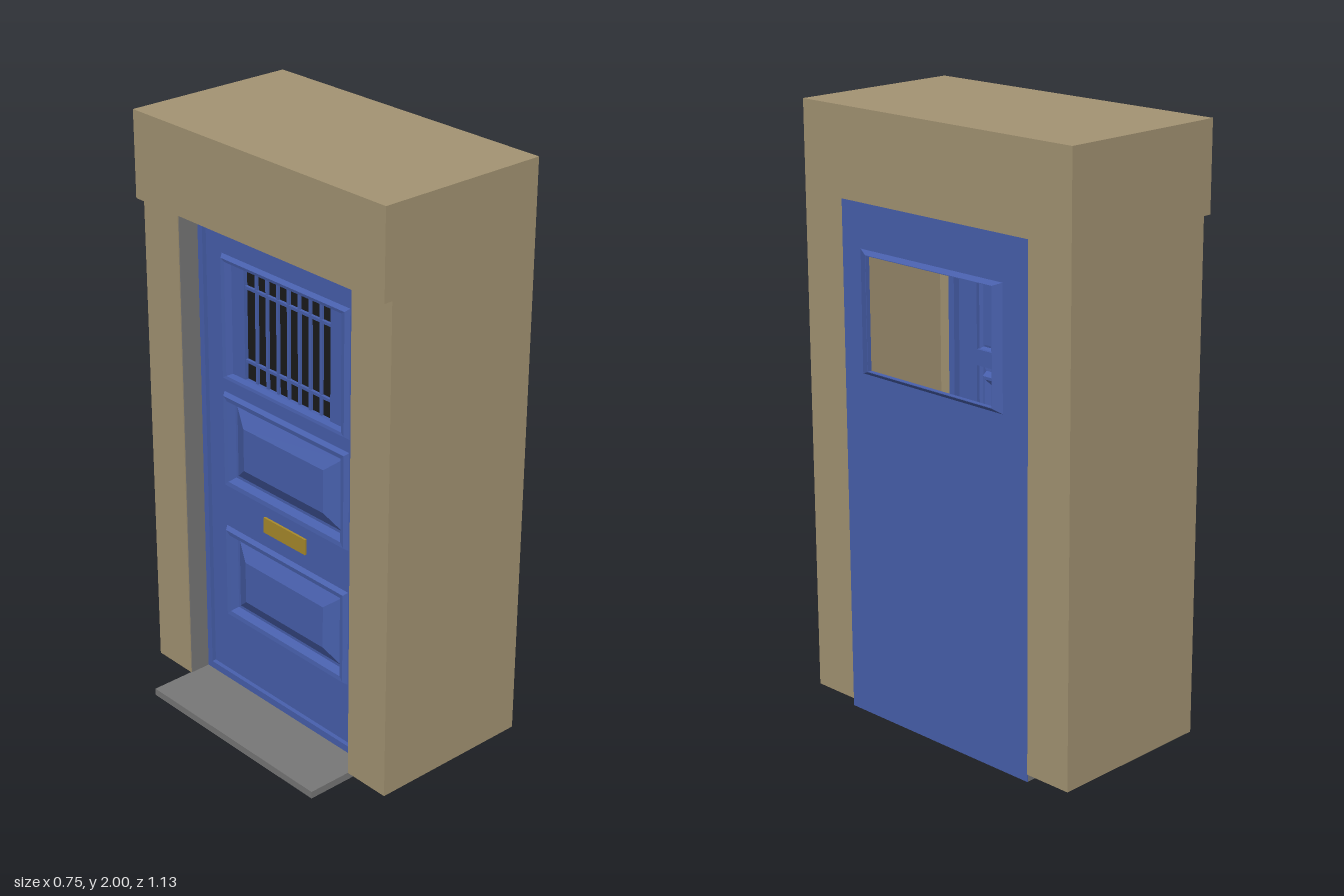
import * as THREE from 'three';

const mat = (color) => new THREE.MeshStandardMaterial({ color, side: THREE.DoubleSide, flatShading: true });

export function createModel() {
  const model = new THREE.Group();
  model.name = 'doorway';
  const stone = mat(0xa49473), blue = mat(0x4860ad), grey = mat(0x777777);
  const black = mat(0x1a1a1a), brass = mat(0xa88a2c);

  const add = (parent, name, geometry, material) => {
    const mesh = new THREE.Mesh(geometry, material);
    mesh.name = name;
    parent.add(mesh);
    return mesh;
  };
  // Box given by its two corners
  const box = (parent, name, m, x0, x1, y0, y1, z0, z1) =>
    add(parent, name, new THREE.BoxGeometry(x1 - x0, y1 - y0, z1 - z0), m)
      .position.set((x0 + x1) / 2, (y0 + y1) / 2, (z0 + z1) / 2);
  // Rectangle outline about a centre
  const rect = (cx, cy, hw, hh, Type = THREE.Path) => new Type([
    [cx - hw, cy - hh], [cx + hw, cy - hh], [cx + hw, cy + hh], [cx - hw, cy + hh],
  ].map(([x, y]) => new THREE.Vector2(x, y)));
  const board = (outer, holes, depth) => {
    outer.holes.push(...holes);
    return new THREE.ExtrudeGeometry(outer, { depth, bevelEnabled: false });
  };
  // Rectangular moulding lofted through rings of [half width, half height, depth]
  const moulding = (rings, capped) => {
    const pos = [], index = [];
    for (const [w, h, d] of rings) pos.push(-w, -h, d, w, -h, d, w, h, d, -w, h, d);
    for (let r = 0; r < rings.length - 1; r++) {
      for (let i = 0; i < 4; i++) {
        const a = r * 4 + i, b = r * 4 + (i + 1) % 4;
        index.push(a, b, b + 4, a, b + 4, a + 4);
      }
    }
    const n = (rings.length - 1) * 4;
    if (capped) index.push(n, n + 1, n + 2, n, n + 2, n + 3);
    const g = new THREE.BufferGeometry();
    g.setAttribute('position', new THREE.Float32BufferAttribute(pos, 3));
    g.setIndex(index);
    const flat = g.toNonIndexed();
    flat.computeVertexNormals();
    return flat;
  };

  const T = 0.003, W = 0.565, D = 0.397, H = 1.71;
  const xL = -0.25, xJ = -0.22, xB = 0.36, xDoor = -0.13;

  // Hollow wall shell
  const wall = new THREE.Group();
  wall.name = 'wall';
  model.add(wall);
  box(wall, 'roof', stone, xL, xB, 2 - T, 2, -W, W);
  box(wall, 'lintelFront', stone, xL, xL + T, H, 2, -W, W);
  box(wall, 'lintelUnderside', stone, xL, xJ, H, H + T, -W, W);
  box(wall, 'lintelBack', stone, xB - T, xB, H, 2, -W, W);
  for (const s of [-1, 1]) {
    const span = (a, b) => (s > 0 ? [a, b] : [-b, -a]);
    box(wall, 'sideWall', stone, xJ, xB, 0.025, 2, ...span(W - T, W));
    box(wall, 'lintelEnd', stone, xL, xJ, H, 2, ...span(W - T, W));
    box(wall, 'jambFront', stone, xJ, xJ + T, 0.025, H, ...span(D, W));
    box(wall, 'jambBack', stone, xB - T, xB, 0.025, H, ...span(D, W));
    box(wall, 'jambBase', stone, xJ, xB, 0.025, 0.025 + T, ...span(D, W));
    box(model, 'reveal', grey, xJ + T, -0.145, 0.025, H, ...span(D - T, D));
  }
  box(model, 'revealTop', grey, xJ, -0.145, H - T, H, -D, D);
  box(model, 'sill', grey, -0.375, xB - T, 0, 0.025, -D, D);

  // Rear panel with a raised window surround
  const rear = new THREE.Group();
  rear.name = 'rearPanel';
  rear.rotation.y = Math.PI / 2;
  rear.position.x = xB;
  model.add(rear);
  add(rear, 'rearBoard', board(rect(0, H / 2, D, H / 2, THREE.Shape),
    [rect(-0.01, 1.365, 0.27, 0.185)], T), blue).position.z = -T;
  add(rear, 'rearWindowSurround', moulding([[0.305, 0.2, 0], [0.272, 0.187, 0.012],
    [0.27, 0.185, 0.012], [0.27, 0.185, -T]]), blue).position.set(-0.01, 1.365, 0);

  // Front door, facing -x
  const door = new THREE.Group();
  door.name = 'door';
  door.rotation.y = -Math.PI / 2;
  door.position.x = xDoor;
  model.add(door);
  const midY = (H + 0.025) / 2, halfH = (H - 0.025) / 2;
  add(door, 'doorFrame', board(rect(0, midY, D, halfH, THREE.Shape),
    [rect(0, midY, D - 0.025, halfH - 0.025)], 0.05), blue).position.z = -0.035;
  const panels = [[0.93, 0.165], [0.44, 0.165]];
  add(door, 'doorLeaf', board(rect(0, midY, D - 0.02, halfH - 0.02, THREE.Shape),
    [rect(0, 1.36, 0.29, 0.21), ...panels.map(([y, h]) => rect(0, y, 0.29, h))], 0.012), blue)
    .position.z = -0.012;

  // Raised and fielded panels
  for (const [y, h] of panels) {
    add(door, 'raisedPanel', moulding([[0.295, h + 0.005, 0], [0.285, h - 0.005, 0.014],
      [0.27, h - 0.02, 0.012], [0.26, h - 0.03, -0.015], [0.25, h - 0.04, -0.015],
      [0.19, h - 0.09, 0.012]], true), blue).position.y = y;
  }

  // Barred window
  add(door, 'windowMoulding', moulding([[0.295, 0.215, 0], [0.285, 0.205, 0.014],
    [0.27, 0.195, 0.012], [0.26, 0.19, -0.008], [0.2, 0.19, -0.008], [0.2, 0.19, -0.035]]), blue)
    .position.y = 1.36;
  box(door, 'windowPane', black, -0.2, 0.2, 1.17, 1.55, -0.026, -0.022);
  for (let i = 1; i < 8; i++) {
    const x = -0.2 + i * 0.05;
    box(door, 'verticalBar', blue, x - 0.005, x + 0.005, 1.17, 1.55, -0.034, -0.014);
  }
  for (const y of [1.235, 1.485])
    box(door, 'crossBar', blue, -0.2, 0.2, y - 0.005, y + 0.005, -0.036, -0.012);

  // Letter slot
  box(door, 'letterSlot', brass, -0.1, 0.1, 0.665, 0.72, 0, 0.008);

  return model;
}
